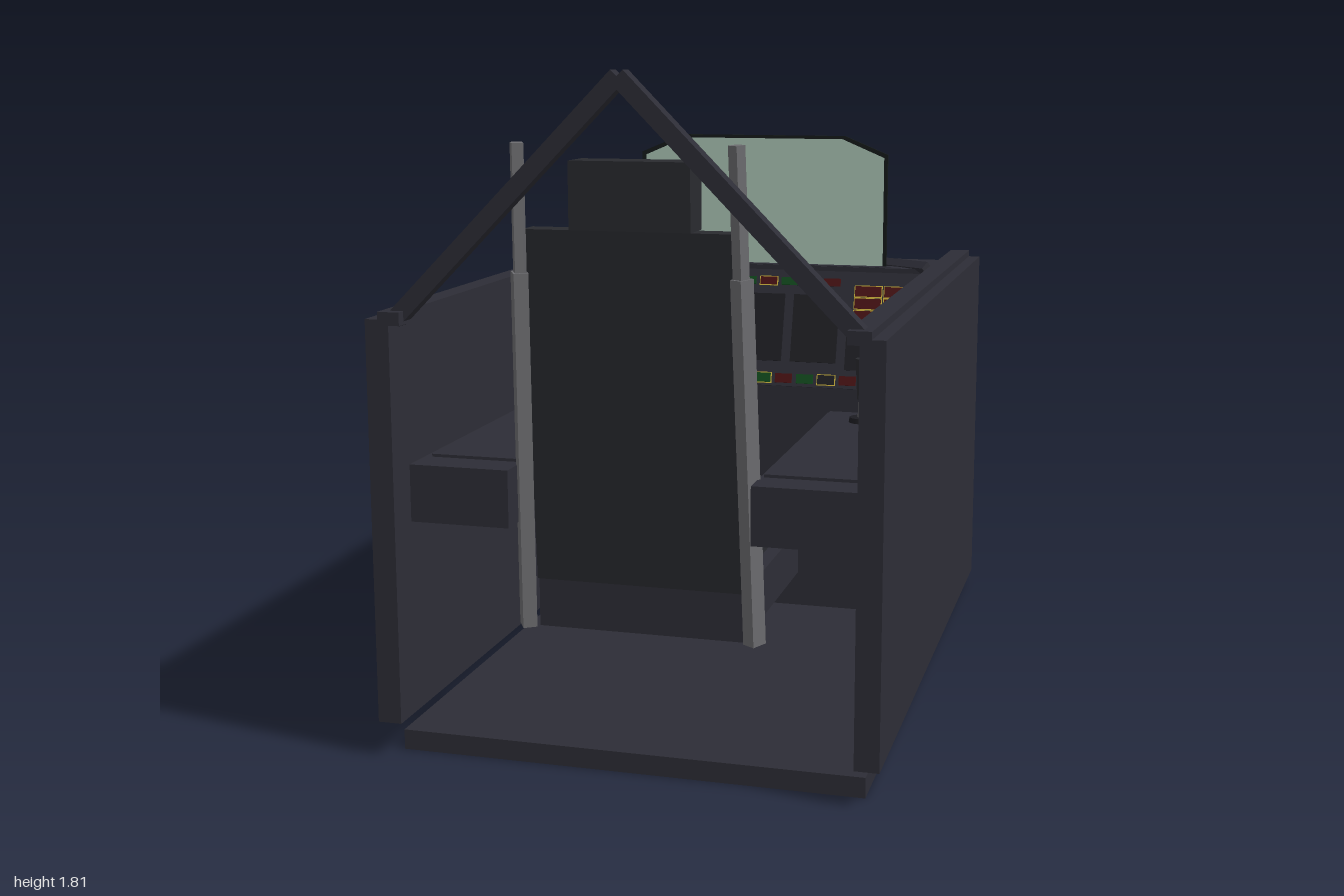
import * as THREE from 'three';

const mat = (name, color, extra = {}) => {
  const m = new THREE.MeshStandardMaterial({ color, ...extra });
  m.name = name;
  return m;
};

export function createModel() {
  const hull = mat('hullGrey', 0x2d2d36);
  const pad = mat('paddingGrey', 0x292a2f);
  const metal = mat('railGrey', 0x6c6c6f);
  const black = mat('frameBlack', 0x151a1a);
  const screen = mat('screenDark', 0x1d1d22);
  const glass = mat('glassGreen', 0xafcaba, { side: THREE.DoubleSide });
  const red = mat('darkRed', 0x4a1012);
  const green = mat('darkGreen', 0x0f4a1c);
  const yellow = mat('yellow', 0xcdb43c);

  const root = new THREE.Group();
  root.name = 'cockpit';
  const add = (name, geo, m, parent = root) => {
    const mesh = new THREE.Mesh(geo, m);
    mesh.name = name;
    parent.add(mesh);
    return mesh;
  };
  // box given by its limits on each axis
  const box = (name, m, [x0, x1], [y0, y1], [z0, z1], parent = root) => {
    const mesh = add(name, new THREE.BoxGeometry(x1 - x0, y1 - y0, z1 - z0), m, parent);
    mesh.position.set((x0 + x1) / 2, (y0 + y1) / 2, (z0 + z1) / 2);
    return mesh;
  };
  // square bar between two points
  const beam = (name, m, a, b, w, d = w) => {
    const p = new THREE.Vector3(...a), q = new THREE.Vector3(...b);
    const mesh = add(name, new THREE.BoxGeometry(w, p.distanceTo(q), d), m);
    mesh.position.copy(p).add(q).multiplyScalar(0.5);
    mesh.quaternion.setFromUnitVectors(new THREE.Vector3(0, 1, 0), q.sub(p).normalize());
    return mesh;
  };
  // side profile of [z, y] points, extruded across x and centred
  const profile = (name, m, pts, width) => {
    const shape = new THREE.Shape(pts.map(([z, y]) => new THREE.Vector2(z, y)));
    const geo = new THREE.ExtrudeGeometry(shape, { depth: width, bevelEnabled: false });
    return add(name, geo.rotateY(-Math.PI / 2).translate(width / 2, 0, 0), m);
  };

  // shell
  box('floor', hull, [-0.63, 0.63], [0, 0.055], [-1, 0.94]);
  box('nose', hull, [-0.625, 0.625], [0.29, 1.145], [-1, -0.54]);
  box('bulkhead', hull, [-0.54, 0.54], [0.055, 0.79], [-0.56, -0.41]);
  profile('glareshield', hull, [[-0.75, 1.145], [-0.51, 1.145], [-0.51, 1.172], [-0.55, 1.172]], 0.86);
  box('panelHood', hull, [-0.56, 0.56], [1.14, 1.17], [-0.56, -0.505]);

  for (const s of [-1, 1]) {
    const span = (a, b) => (s > 0 ? [a, b] : [-b, -a]);
    box('sideWall', hull, span(0.61, 0.675), [0.095, 1.18], [-0.83, 1]);
    box('sillRail', hull, span(0.58, 0.64), [1.165, 1.2], [-0.83, 1]);
    box('console', hull, span(0.325, 0.6), [0.63, 0.785], [-0.04, 0.92]);
    box('consoleTop', hull, span(0.335, 0.58), [0.785, 0.793], [-0.02, 0.82]);
    beam('noseStrut', hull, [s * 0.28, 1.165, -0.73], [s * 0.55, 1.175, -0.49], 0.03);
    // rear frame and seat rails
    beam('rearFrame', hull, [s * 0.61, 1.175, 0.95], [0, 1.795, 0.95], 0.045);
    beam('seatRail', metal, [s * 0.285, 1.63, 0.912], [s * 0.31, 0.34, 0.822], 0.03);
    beam('seatRailSleeve', metal, [s * 0.293, 1.3, 0.889], [s * 0.312, 0.34, 0.822], 0.038, 0.045);
  }

  // windscreen with a thin dark border
  const outline = [[-0.41, 1.15], [0.41, 1.15], [0.41, 1.53], [0.27, 1.588], [-0.27, 1.588], [-0.41, 1.53]];
  const inset = (k, h) => outline.map(([x, y]) => new THREE.Vector2(x * k, y > 1.2 ? y - h : y + h));
  const pane = new THREE.Mesh(new THREE.ShapeGeometry(new THREE.Shape(inset(0.972, 0.01))), glass);
  pane.name = 'windscreenGlass';
  pane.position.z = -0.54;
  root.add(pane);
  const frame = new THREE.Shape(inset(1, 0));
  frame.holes.push(new THREE.Path(inset(0.972, 0.01)));
  add('windscreenFrame', new THREE.ExtrudeGeometry(frame, { depth: 0.01, bevelEnabled: false }), black).position.z = -0.545;

  // seat
  box('seatPan', hull, [-0.28, 0.28], [0.34, 0.47], [0.16, 0.82]);
  box('seatCushion', pad, [-0.24, 0.24], [0.47, 0.52], [0.21, 0.66]);
  profile('seatBack', pad, [[0.64, 0.47], [0.82, 0.47], [0.885, 1.41], [0.81, 1.41]], 0.57);
  profile('backCushion', pad, [[0.62, 0.52], [0.66, 0.52], [0.79, 1.26], [0.755, 1.27]], 0.45);
  box('headrest', pad, [-0.16, 0.16], [1.41, 1.585], [0.78, 0.885]);
  const handle = add('pullHandle', new THREE.TorusGeometry(0.055, 0.009, 8, 20), yellow);
  handle.position.set(0, 0.5, 0.155);
  handle.scale.set(1.1, 0.7, 1);

  // instrument panel, local x across and y up its sloping face
  const panel = new THREE.Group();
  panel.name = 'instrumentPanel';
  panel.position.set(0, 0.79, -0.4);
  panel.rotation.x = -0.28;
  root.add(panel);
  box('panelBoard', hull, [-0.54, 0.54], [0, 0.385], [-0.06, 0], panel);
  const tile = (m, x, y, w, h, rim, parent = panel, z = 0) => {
    if (rim) box('tileRim', rim, [x - 0.003, x + w + 0.003], [y - 0.003, y + h + 0.003], [z, z + 0.003], parent);
    box('tile', m, [x, x + w], [y, y + h], [z, z + 0.006], parent);
  };
  // red warning banks at both sides
  tile(red, -0.5, 0.17, 0.2, 0.11);
  tile(red, -0.42, 0.29, 0.09, 0.03);
  for (let r = 0; r < 3; r++) for (let c = 0; c < 2; c++)
    tile(red, 0.32 + c * 0.095, 0.22 + r * 0.04, 0.085, 0.033, yellow);
  // display screens
  for (const [x, w] of [[-0.27, 0.15], [-0.09, 0.18], [0.12, 0.15]]) tile(screen, x, 0.08, w, 0.22);
  tile(screen, 0.3, 0.06, 0.2, 0.13);
  // selector keys beneath the left bank
  for (let r = 0; r < 3; r++) {
    tile(screen, -0.48, 0.06 + r * 0.035, 0.07, 0.025, yellow);
    tile(green, -0.4, 0.06 + r * 0.035, 0.045, 0.028);
    tile(red, -0.345, 0.06 + r * 0.035, 0.04, 0.028);
  }
  // key rows along the top and bottom edges
  const cycle = [green, green, red, green, screen, red];
  for (let i = 0; i < 14; i++) {
    tile(cycle[i % 6], -0.485 + i * 0.07, 0.01, 0.055, 0.03, i % 3 === 1 ? yellow : null);
    if (i > 3 && i < 11) tile(cycle[(i + 1) % 6], -0.485 + i * 0.07, 0.33, 0.055, 0.025, i % 2 ? yellow : null);
  }

  // angled key panels at the sides
  for (const s of [-1, 1]) {
    const side = new THREE.Group();
    side.name = 'sideKeyPanel';
    side.position.set(s * 0.53, 0.97, -0.345);
    side.rotation.set(-0.27, -s * 0.8, 0, 'YXZ');
    root.add(side);
    box('keyPanelBody', hull, [-0.055, 0.055], [-0.125, 0.125], [-0.04, 0], side);
    for (let r = 0; r < 3; r++) for (let c = 0; c < 2; c++)
      tile(green, -0.042 + c * 0.045, -0.02 + r * 0.038, 0.038, 0.03, yellow, side);
    tile(screen, -0.04, -0.105, 0.08, 0.06, null, side);
  }

  // control stick on the left console
  const round = (name, m, r0, r1, h, x, y, z) =>
    add(name, new THREE.CylinderGeometry(r0, r1, h, 16), m).position.set(x, y, z);
  round('stickBase', screen, 0.035, 0.038, 0.015, 0.455, 0.8, 0.11);
  round('stickShaft', metal, 0.01, 0.012, 0.07, 0.455, 0.835, 0.11);
  round('stickGrip', pad, 0.02, 0.014, 0.12, 0.455, 0.92, 0.11);

  // throttle on the right console
  for (const x of [-0.48, -0.45])
    box('throttleSlot', black, [x - 0.004, x + 0.004], [0.793, 0.797], [0, 0.26]);
  box('throttleLever', metal, [-0.472, -0.458], [0.79, 0.86], [0.12, 0.14]);
  box('throttleGrip', pad, [-0.492, -0.436], [0.85, 0.905], [0.095, 0.16]);
  beam('gearLever', metal, [-0.5, 0.9, -0.31], [-0.455, 0.86, -0.27], 0.012);

  return root;
}
